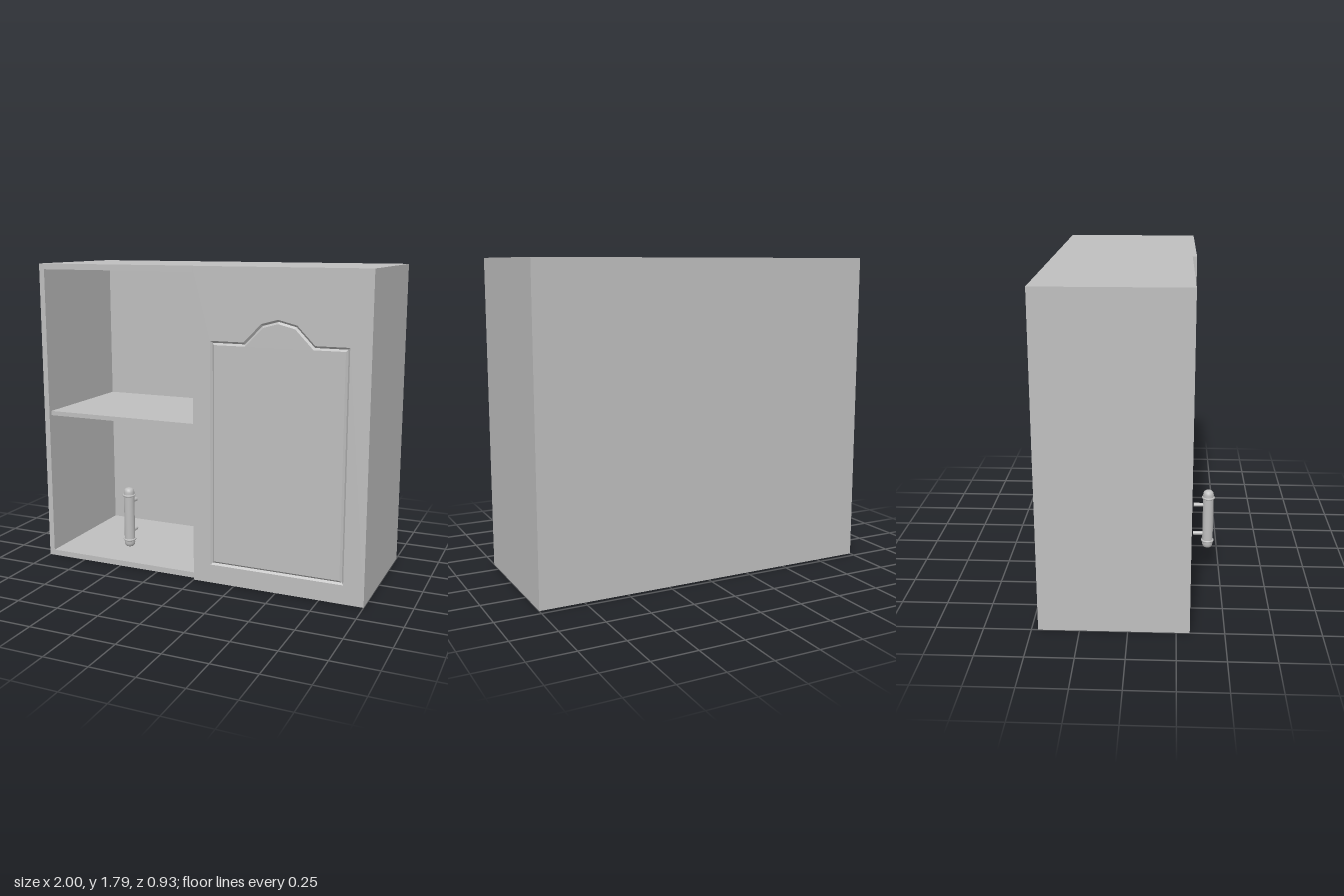
import * as THREE from 'three';

const grey = new THREE.MeshStandardMaterial({ color: 0xbfbfbf });
grey.name = 'cabinetGrey';

const H = 1.79, BACK = -0.465, FRONT = 0.32, DOOR = 0.345, T = 0.033;

function add(group, name, geometry) {
  const mesh = new THREE.Mesh(geometry, grey);
  mesh.name = name;
  group.add(mesh);
  return mesh;
}

// Box given by its minimum and maximum corners
function box(group, name, x0, x1, y0, y1, z0, z1) {
  add(group, name, new THREE.BoxGeometry(x1 - x0, y1 - y0, z1 - z0))
    .position.set((x0 + x1) / 2, (y0 + y1) / 2, (z0 + z1) / 2);
}

// Mitred inward offset of a counter-clockwise outline
function inset(points, d) {
  return points.map((p, i) => {
    const a = points[(i + points.length - 1) % points.length];
    const b = points[(i + 1) % points.length];
    const e = p.clone().sub(a).normalize(), f = b.clone().sub(p).normalize();
    const n = new THREE.Vector2(-e.y, e.x), m = new THREE.Vector2(-f.y, f.x);
    return p.clone().addScaledVector(n.clone().add(m), d / (1 + n.dot(m)));
  });
}

// Sloping flat faces joining two matching outlines
function bevel(a, za, b, zb) {
  const pos = [];
  a.forEach((p, i) => {
    const j = (i + 1) % a.length, q = a[j], r = b[j], s = b[i];
    pos.push(p.x, p.y, za, q.x, q.y, za, r.x, r.y, zb);
    pos.push(p.x, p.y, za, r.x, r.y, zb, s.x, s.y, zb);
  });
  const g = new THREE.BufferGeometry();
  g.setAttribute('position', new THREE.Float32BufferAttribute(pos, 3));
  g.computeVertexNormals();
  return g;
}

function makeCarcass() {
  const g = new THREE.Group();
  g.name = 'carcass';
  box(g, 'leftSide', 1 - T, 1, 0, H, BACK, FRONT);
  box(g, 'rightSide', -1, -1 + T, 0, H, BACK, FRONT);
  box(g, 'topPanel', -1 + T, 1 - T, H - T, H, BACK, FRONT);
  box(g, 'bottomPanel', -1 + T, 1 - T, 0, T, BACK, FRONT);
  box(g, 'backPanel', -1 + T, 1 - T, T, H - T, BACK, BACK + 0.03);
  box(g, 'shelf', -1 + T, 1 - T, 0.884, 0.91, BACK + 0.03, FRONT - 0.02);
  return g;
}

function makeDoor() {
  const g = new THREE.Group();
  g.name = 'door';
  const mid = DOOR - 0.012;
  box(g, 'doorBacking', 0, 1, 0, H, FRONT, mid);

  // Arched groove outline, counter-clockwise
  const outer = [
    [0.105, 0.108], [0.885, 0.108], [0.885, 1.39], [0.70, 1.39], [0.60, 1.492],
    [0.495, 1.518], [0.40, 1.492], [0.30, 1.39], [0.105, 1.39],
  ].map(([x, y]) => new THREE.Vector2(x, y));
  const valley = inset(outer, 0.011), inner = inset(outer, 0.022);

  const frame = new THREE.Shape([[0, 0], [1, 0], [1, H], [0, H]].map(([x, y]) => new THREE.Vector2(x, y)));
  frame.holes.push(new THREE.Path(outer));
  const solid = { depth: DOOR - mid, bevelEnabled: false };
  add(g, 'doorFrame', new THREE.ExtrudeGeometry(frame, solid)).position.z = mid;
  add(g, 'doorPanel', new THREE.ExtrudeGeometry(new THREE.Shape(inner), solid)).position.z = mid;
  add(g, 'grooveOuterSlope', bevel(outer, DOOR, valley, mid + 0.001));
  add(g, 'grooveInnerSlope', bevel(valley, mid + 0.001, inner, DOOR));
  return g;
}

function makeHandle() {
  const g = new THREE.Group();
  g.name = 'handle';
  const r = 0.03, y0 = 0.18, y1 = 0.53;
  add(g, 'grip', new THREE.CylinderGeometry(r, r, 0.265, 24)).position.y = 0.355;

  // Rounded end cap profile, used at both ends
  const cap = [[r, 0], [r, 0.022], [0.027, 0.034], [0.021, 0.041], [0.012, 0.045], [0, 0.045]]
    .map(([x, y]) => new THREE.Vector2(x, y));
  for (const s of [1, -1]) {
    const end = add(g, 'endCap', new THREE.LatheGeometry(cap, 24));
    end.position.y = s > 0 ? y1 - 0.045 : y0 + 0.045;
    if (s < 0) end.rotation.x = Math.PI;
    const ring = add(g, 'collar', new THREE.TorusGeometry(0.031, 0.006, 8, 24));
    ring.rotation.x = Math.PI / 2;
    ring.position.y = 0.355 + s * 0.132;
    const post = add(g, 'post', new THREE.CylinderGeometry(0.011, 0.011, 0.07, 16));
    post.rotation.x = Math.PI / 2;
    post.position.set(0, 0.353 + s * 0.088, -0.047);
  }
  g.position.set(-0.37, 0, 0.427);
  return g;
}

export function createModel() {
  const model = new THREE.Group();
  model.name = 'wallCabinet';
  model.add(makeCarcass(), makeDoor(), makeHandle());
  return model;
}
